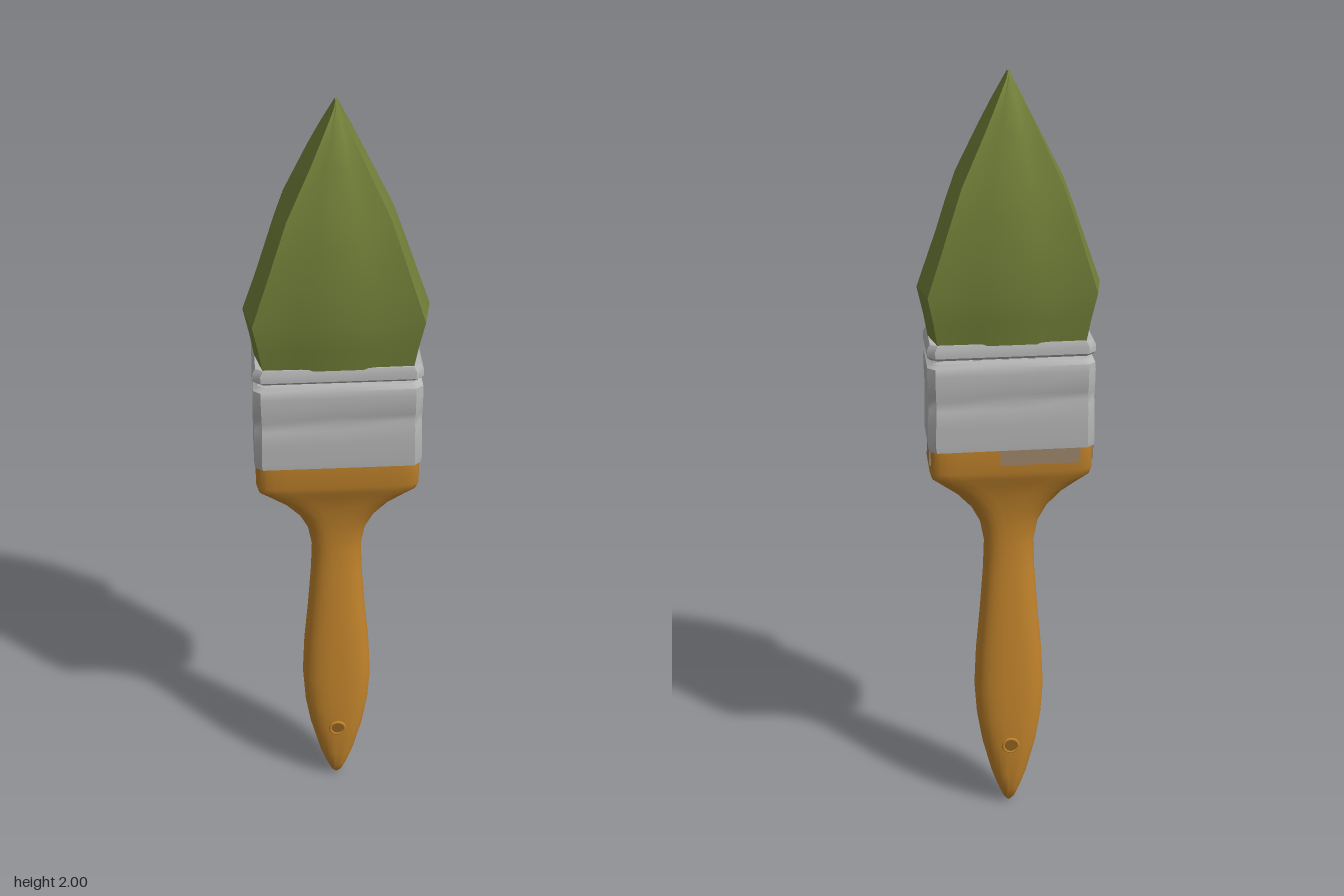
import * as THREE from 'three';
import { toCreasedNormals } from 'three/addons/utils/BufferGeometryUtils.js';

// Unit outline of a superellipse; a higher power is squarer
const rounded = (power, sides = 28) => Array.from({ length: sides }, (_, i) => {
  const t = ((i + 0.5) / sides) * Math.PI * 2;
  const f = (v) => Math.sign(v) * Math.pow(Math.abs(v), 2 / power);
  return [f(Math.cos(t)), f(Math.sin(t))];
});

// Unit outlines given as corner points, mirrored from one quarter
const bristleOutline = [
  [1, 0], [0.91, 0.93], [0.45, 0.94], [0.3, 1], [-0.3, 1], [-0.45, 0.94], [-0.91, 0.93],
  [-1, 0], [-0.91, -0.93], [-0.45, -0.94], [-0.3, -1], [0.3, -1], [0.45, -0.94], [0.91, -0.93],
];
const bandOutline = [
  [1, 0.82], [0.91, 1], [0, 1], [-0.91, 1], [-1, 0.82],
  [-1, -0.82], [-0.91, -1], [0, -1], [0.91, -1], [1, -0.82],
];

// Closed skin through rings of [y, halfWidth, halfDepth, extra]
function loft(rings, outlineOf, crease) {
  const pos = [], index = [], n = outlineOf(rings[0]).length;
  for (const r of rings) for (const [x, z] of outlineOf(r)) pos.push(x * r[1], r[0], z * r[2]);
  const bottom = pos.length / 3, top = bottom + 1, last = (rings.length - 1) * n;
  pos.push(0, rings[0][0], 0, 0, rings[rings.length - 1][0], 0);
  for (let i = 0; i < n; i++) {
    const j = (i + 1) % n;
    for (let k = 0; k < last; k += n) {
      index.push(k + i, k + n + i, k + j, k + j, k + n + i, k + n + j);
    }
    index.push(bottom, i, j, top, last + j, last + i);
  }
  const g = new THREE.BufferGeometry();
  g.setAttribute('position', new THREE.Float32BufferAttribute(pos, 3));
  g.setIndex(index);
  return toCreasedNormals(g, crease);
}

function material(name, color) {
  const m = new THREE.MeshStandardMaterial({ color });
  m.name = name;
  return m;
}

export function createModel() {
  const group = new THREE.Group();
  const green = material('green bristles', 0x74823a);
  const metal = material('grey metal', 0xb6b6b6);
  const wood = material('orange wood', 0xc2842c);
  const darkWood = material('dark wood', 0x8f5f20);
  const smudge = material('metal smudge', 0x9c8468);

  const add = (name, geometry, mat, x = 0, y = 0, z = 0) => {
    const mesh = new THREE.Mesh(geometry, mat);
    mesh.name = name;
    mesh.position.set(x, y, z);
    group.add(mesh);
    return mesh;
  };

  // Handle: y, half width, half depth, squareness
  add('handle', loft([
    [0, 0.006, 0.008, 2], [0.015, 0.017, 0.022, 2], [0.05, 0.031, 0.036, 2.2],
    [0.1, 0.048, 0.046, 2.4], [0.2, 0.073, 0.054, 2.6], [0.28, 0.086, 0.056, 2.7],
    [0.37, 0.092, 0.056, 2.7], [0.48, 0.087, 0.055, 2.6], [0.6, 0.076, 0.052, 2.5],
    [0.72, 0.067, 0.047, 2.4], [0.8, 0.064, 0.045, 2.4], [0.86, 0.075, 0.047, 2.6],
    [0.905, 0.098, 0.053, 3], [0.95, 0.137, 0.062, 4], [0.985, 0.178, 0.072, 6],
    [1.005, 0.2, 0.08, 8], [1.025, 0.205, 0.086, 9], [1.1, 0.203, 0.086, 9],
  ], (r) => rounded(r[3]), 0.75), wood);

  // Hanging hole, on both faces
  for (const side of [1, -1]) {
    const disc = add('hangingHole', new THREE.CircleGeometry(0.018, 20), darkWood, 0, 0.205, side * 0.0565);
    if (side < 0) disc.rotation.y = Math.PI;
    add('holeRim', new THREE.TorusGeometry(0.02, 0.004, 8, 24), wood, 0, 0.205, side * 0.055);
  }

  // Metal ferrule: main sleeve with shallow pressed grooves, and a collar above a slit
  add('ferruleSleeve', loft([
    [1.086, 0.206, 0.088], [1.1, 0.208, 0.089], [1.15, 0.207, 0.089], [1.195, 0.206, 0.09],
    [1.215, 0.205, 0.084], [1.235, 0.206, 0.09], [1.285, 0.207, 0.089],
    [1.305, 0.206, 0.088], [1.316, 0.194, 0.08],
  ], () => bandOutline, 0.6), metal);
  add('ferruleCollar', loft([
    [1.326, 0.2, 0.084], [1.333, 0.206, 0.09], [1.352, 0.206, 0.09], [1.365, 0.199, 0.086],
  ], () => bandOutline, 0.6), metal);
  // Little bridges across the slit
  for (const x of [-0.05, 0.015, 0.085, 0.185]) {
    add('slitBridge', new THREE.BoxGeometry(0.018, 0.02, 0.13), metal, x, 1.321, 0);
  }

  // Worn metal marks on the wood under the ferrule
  add('backSmudge', new THREE.BoxGeometry(0.2, 0.04, 0.004), smudge, -0.07, 1.066, -0.086);
  for (const side of [1, -1]) {
    add('sideSmudge', new THREE.BoxGeometry(0.004, 0.04, 0.045), smudge, side * 0.204, 1.066, -0.045);
  }

  // Bristles, swelling and then tapering to a point
  add('bristles', loft([
    [1.355, 0.198, 0.086], [1.42, 0.209, 0.098], [1.49, 0.224, 0.11], [1.6, 0.185, 0.11],
    [1.68, 0.157, 0.109], [1.75, 0.131, 0.1], [1.87, 0.069, 0.078],
    [1.93, 0.038, 0.056], [1.985, 0.009, 0.028], [2, 0.003, 0.012],
  ], () => bristleOutline, 0.5), green);

  return group;
}
